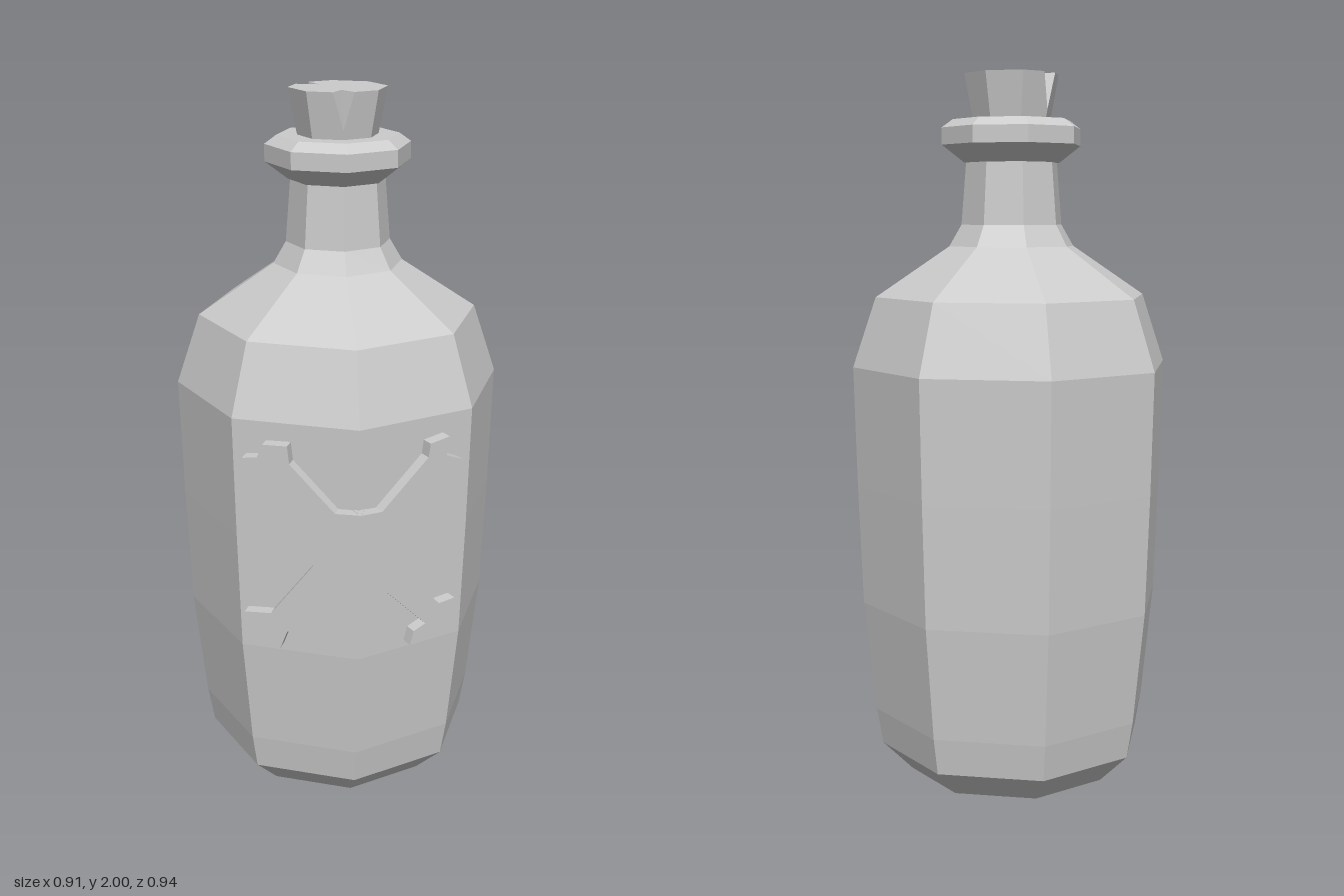
import * as THREE from 'three';

const SIDES = 8;
const SLOPE = Math.tan(Math.PI / SIDES); // fall of a front facet per unit of x
const material = new THREE.MeshStandardMaterial({ color: 0xcccccc, flatShading: true });

function addMesh(parent, name, geometry) {
  const mesh = new THREE.Mesh(geometry, material);
  mesh.name = name;
  parent.add(mesh);
}

// Eight-sided turned part from [radius, height] pairs, bottom to top
function turned(profile) {
  return new THREE.LatheGeometry(profile.map(([r, y]) => new THREE.Vector2(r, y)), SIDES);
}

// Raised relief on one front facet; side is +1 (left) or -1 (right).
// Outline gives the outer face as [distance from middle, height].
function reliefHalf(outline, side) {
  const shape = new THREE.Shape(outline.map(([x, y]) => new THREE.Vector2(x * side, y)));
  const geo = new THREE.ExtrudeGeometry(shape, { depth: 0.05, bevelEnabled: false });
  const p = geo.attributes.position;
  for (let i = 0; i < p.count; i++) {
    const x = Math.abs(p.getX(i)), y = p.getY(i), d = 0.05 - p.getZ(i);
    p.setXYZ(i, side * (x - 0.38 * d), y, 0.487 + 0.03 * (y - 0.97) - SLOPE * x - 0.92 * d);
  }
  geo.computeVertexNormals();
  return geo;
}

// Flared cork with V-shaped chips cut out of some of its corners
function corkGeometry(chips) {
  const low = 1.86, high = 2, rLow = 0.108, rHigh = 0.135;
  const at = (i, r, y) => {
    const a = (i * 2 * Math.PI) / SIDES;
    return new THREE.Vector3(Math.sin(a) * r, y, Math.cos(a) * r);
  };
  const positions = [];
  const fan = (...pts) => {
    for (let i = 1; i < pts.length - 1; i++)
      for (const v of [pts[0], pts[i], pts[i + 1]]) positions.push(v.x, v.y, v.z);
  };
  const corners = [];
  for (let i = 0; i < SIDES; i++) {
    const bottom = at(i, rLow, low), top = at(i, rHigh, high), chip = chips[i];
    if (!chip) {
      corners.push({ bottom, tops: [top], tip: [] });
      continue;
    }
    const before = top.clone().lerp(at(i - 1, rHigh, high), 0.3);
    const after = top.clone().lerp(at(i + 1, rHigh, high), 0.3);
    const inner = at(i, chip.inner, high);
    const tip = bottom.clone().lerp(top, (chip.y - low) / (high - low));
    corners.push({ bottom, tops: [before, inner, after], tip: [tip] });
    fan(tip, inner, before);
    fan(tip, after, inner);
  }
  const centre = new THREE.Vector3(0, high, 0), base = new THREE.Vector3(0, low, 0);
  corners.forEach((c, i) => {
    const n = corners[(i + 1) % SIDES];
    fan(c.bottom, n.bottom, ...n.tip, n.tops[0], c.tops[c.tops.length - 1], ...c.tip);
    fan(centre, ...c.tops, n.tops[0]);
    fan(base, n.bottom, c.bottom);
  });
  const geo = new THREE.BufferGeometry();
  geo.setAttribute('position', new THREE.Float32BufferAttribute(positions, 3));
  geo.computeVertexNormals();
  return geo;
}

export function createModel() {
  const bottle = new THREE.Group();
  bottle.name = 'bottle';
  bottle.position.z = -0.017;
  bottle.rotation.y = 0.017;

  // Body, shoulder and neck
  addMesh(bottle, 'body', turned([
    [0, 0], [0.3, 0], [0.385, 0.085], [0.403, 0.19], [0.436, 0.51], [0.448, 0.85],
    [0.456, 1.19], [0.39, 1.385], [0.18, 1.525], [0.145, 1.585], [0.13, 1.77],
  ]));

  // Lip around the mouth
  addMesh(bottle, 'lip', turned([
    [0.1, 1.757], [0.137, 1.757], [0.2, 1.805], [0.2, 1.852], [0.168, 1.875], [0, 1.875],
  ]));

  // Cork with two chipped corners
  addMesh(bottle, 'cork', corkGeometry({ 0: { inner: 0.077, y: 1.9 }, 5: { inner: 0.066, y: 1.9 } }));

  // Crossed bones, folded over the front edge
  const leftBones = [
    [0, 0.965], [0, 0.667], [0.06, 0.672], [0.075, 0.72], [0.195, 0.588], [0.16, 0.573],
    [0.15, 0.532], [0.225, 0.535], [0.236, 0.587], [0.278, 0.587], [0.282, 0.645],
    [0.235, 0.64], [0.107, 0.79], [0.105, 0.915], [0.217, 1.02], [0.282, 1.01],
    [0.292, 1.063], [0.243, 1.085], [0.25, 1.138], [0.195, 1.128], [0.19, 1.09], [0.06, 0.962],
  ];
  const rightBones = [
    [0, 0.965], [0.065, 0.962], [0.18, 1.09], [0.185, 1.14], [0.248, 1.138], [0.262, 1.1],
    [0.3, 1.095], [0.297, 1.032], [0.232, 1.058], [0.117, 0.935], [0.121, 0.8],
    [0.232, 0.64], [0.302, 0.635], [0.302, 0.577], [0.25, 0.577], [0.25, 0.53],
    [0.208, 0.535], [0.19, 0.587], [0.06, 0.72], [0.073, 0.677], [0, 0.667],
  ];
  addMesh(bottle, 'leftCrossbones', reliefHalf(leftBones, 1));
  addMesh(bottle, 'rightCrossbones', reliefHalf(rightBones, -1));

  const model = new THREE.Group();
  model.name = 'corkedBottle';
  model.add(bottle);
  return model;
}
